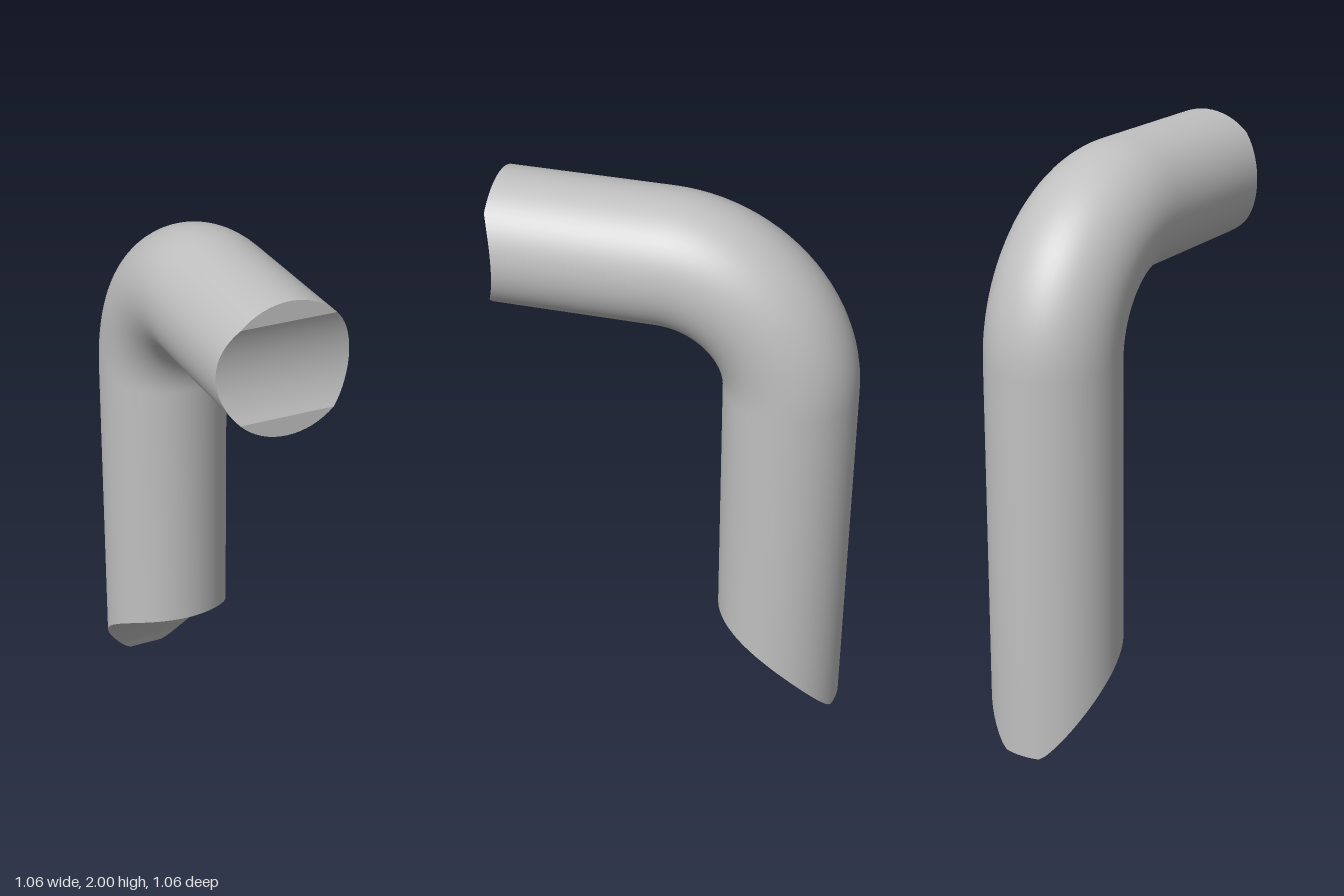
import * as THREE from 'three';
import { toCreasedNormals } from 'three/addons/utils/BufferGeometryUtils.js';

const R = 0.227;       // pipe radius
const BEND = 0.431;    // bend radius of the centre line
const BEND_Y = 1.342;  // height where the bend starts
const SEG = 64;

// Pipe is built in a local frame: X along the arm, Y up, Z across.
const angle = (i) => (i / SEG) * Math.PI * 2;

// Rounded slanting cut at the foot, trimmed level at the ground
function footPoint(a) {
  const u = R * Math.cos(a);
  const y = -0.254 + Math.sqrt(Math.max(0, 0.68 ** 2 - (u - 0.415) ** 2));
  return [u - BEND, Math.max(0, y), R * Math.sin(a)];
}

// Ring of the bend at turn angle t
function bendPoint(t, a) {
  const d = BEND - R * Math.cos(a);
  return [-d * Math.cos(t), BEND_Y + d * Math.sin(t), R * Math.sin(a)];
}

// Shallow cylindrical scoop across the mouth, flat above and below it
function mouthPoint(a) {
  const h = R * Math.cos(a), half = R * Math.SQRT1_2, scoop = 0.3685;
  const base = Math.sqrt(scoop ** 2 - half ** 2);
  const depth = Math.max(0, Math.sqrt(scoop ** 2 - h * h) - base);
  return [0.555 - depth, BEND_Y + BEND - h, R * Math.sin(a)];
}

function surface(points, index) {
  const g = new THREE.BufferGeometry();
  g.setAttribute('position', new THREE.Float32BufferAttribute(points.flat(), 3));
  g.setIndex(index);
  return toCreasedNormals(g, 0.3);
}

// Pipe wall lofted through the rings
function wall() {
  const rings = [footPoint];
  for (let k = 0; k <= 24; k++) rings.push((a) => bendPoint((k / 24) * Math.PI / 2, a));
  rings.push(mouthPoint);
  const points = [], index = [];
  rings.forEach((ring, j) => {
    for (let i = 0; i < SEG; i++) points.push(ring(angle(i)));
    if (j === 0) return;
    for (let i = 0; i < SEG; i++) {
      const n = (i + 1) % SEG, lo = (j - 1) * SEG, hi = j * SEG;
      index.push(lo + i, hi + i, lo + n, lo + n, hi + i, hi + n);
    }
  });
  return surface(points, index);
}

// End face made of strips running across the pipe
function cap(ring, flip) {
  const points = [], index = [], half = SEG / 2;
  const tri = (a, b, c) => (flip ? index.push(a, c, b) : index.push(a, b, c));
  for (let i = 0; i <= half; i++) {
    points.push(ring(angle(i)), ring(-angle(i)));
    if (i === half) break;
    const p = i * 2, q = p + 1, np = p + 2, nq = p + 3;
    if (i > 0) tri(p, np, q);
    if (i < half - 1) tri(q, np, nq);
    else continue;
  }
  return surface(points, index);
}

export function createModel() {
  const metal = new THREE.MeshStandardMaterial({ color: 0xc0c0c0 });
  metal.name = 'light grey';
  const model = new THREE.Group();
  model.name = 'bentPipe';
  const pipe = new THREE.Group();
  pipe.name = 'pipe';
  pipe.rotation.y = -Math.PI / 4;
  const add = (name, geometry) => {
    const mesh = new THREE.Mesh(geometry, metal);
    mesh.name = name;
    pipe.add(mesh);
  };
  add('pipeWall', wall());
  add('footCut', cap(footPoint, false));
  add('mouthCut', cap(mouthPoint, true));
  model.add(pipe);
  return model;
}
